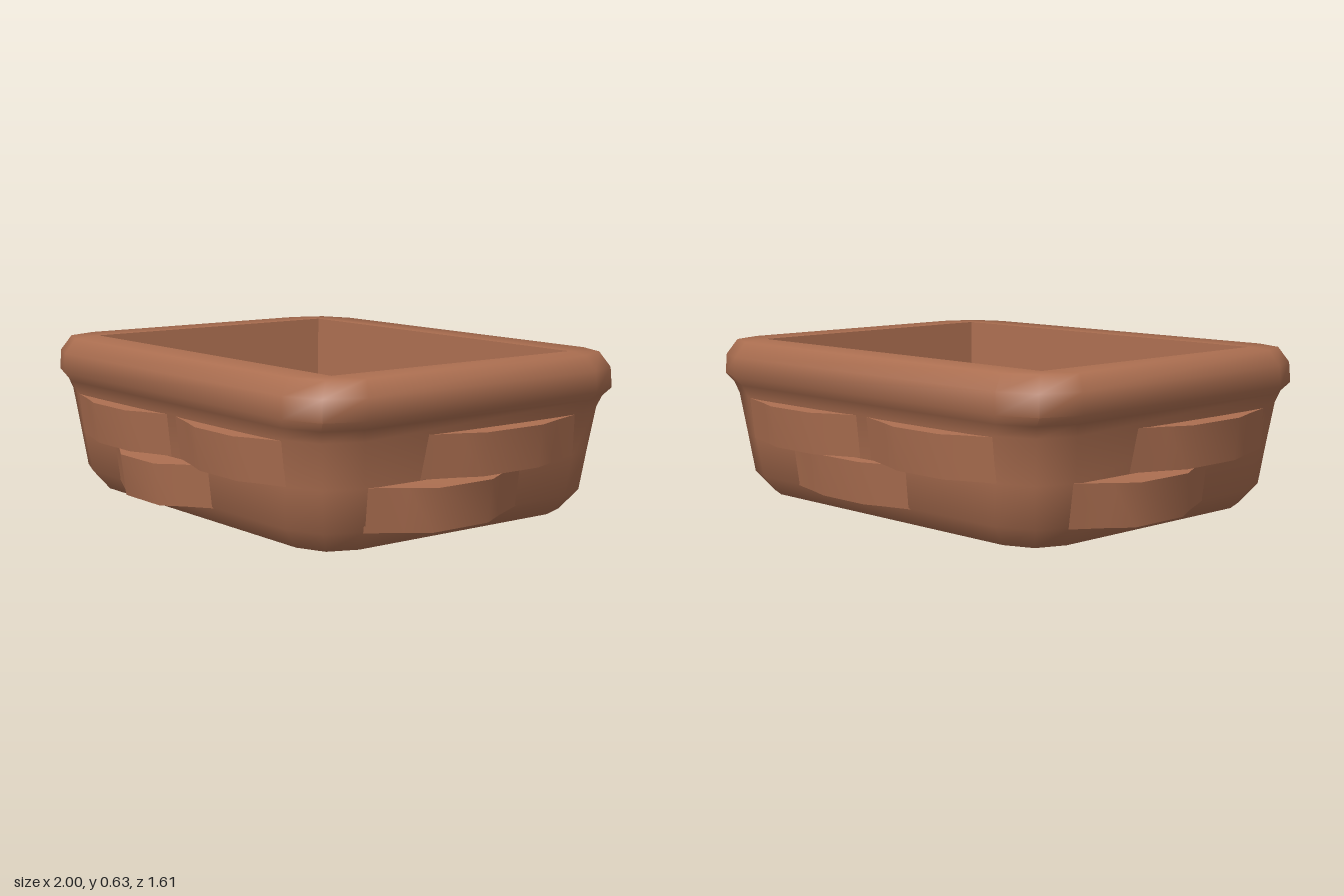
import * as THREE from 'three';
import { toCreasedNormals } from 'three/addons/utils/BufferGeometryUtils.js';

// Skin a list of equal-length closed loops
function loft(loops, crease) {
  const n = loops[0].length, index = [];
  for (let j = 0; j < loops.length - 1; j++) {
    for (let i = 0; i < n; i++) {
      const a = j * n + i, b = j * n + (i + 1) % n;
      index.push(a, a + n, b, b, a + n, b + n);
    }
  }
  const geo = new THREE.BufferGeometry();
  geo.setAttribute('position', new THREE.Float32BufferAttribute(loops.flat(2), 3));
  geo.setIndex(index);
  return toCreasedNormals(geo, crease);
}

// Horizontal rectangle with two-segment corners
function roundedLoop([y, hx, hz, r]) {
  const points = [];
  const signs = [[1, 1], [-1, 1], [-1, -1], [1, -1]];
  signs.forEach(([sx, sz], q) => {
    for (let k = 0; k < 3; k++) {
      const a = (q + k / 2) * Math.PI / 2;
      points.push([sx * (hx - r) + r * Math.cos(a), y, sz * (hz - r) + r * Math.sin(a) - 0.013]);
    }
  });
  return points;
}

// Woven strip that bulges out of a wall; local x runs along the wall, z points outward
function strip(bottom, top, wallBottom, wallTop, bulge, half) {
  const profile = [[-1, -0.01], [-0.62, 0.55], [-0.36, 1], [0.36, 1], [0.62, 0.55], [1, -0.01]];
  const loops = profile.map(([u, h]) => {
    const out = bulge * h, drop = 0.13 * out, x = u * half;
    return [
      [x, bottom, wallBottom - 0.03],
      [x, bottom - drop, wallBottom + out],
      [x, top - drop, wallTop + out],
      [x, top, wallTop - 0.03],
    ];
  });
  return loft(loops, 0.7);
}

export function createModel() {
  const model = new THREE.Group();
  const clay = new THREE.MeshStandardMaterial({ color: 0xab6e50 });
  clay.name = 'warm brown';

  const add = (name, geometry) => {
    const mesh = new THREE.Mesh(geometry, clay);
    mesh.name = name;
    model.add(mesh);
    return mesh;
  };

  // Basket shell: underside, walls, rolled rim, inner walls and floor
  const sections = [
    [0, 0, 0, 0],
    [0, 0.815, 0.63, 0.16],
    [0.08, 0.88, 0.695, 0.2],
    [0.24, 0.9, 0.715, 0.2],
    [0.41, 0.925, 0.735, 0.2],
    [0.455, 0.94, 0.75, 0.2],
    [0.49, 0.975, 0.772, 0.21],
    [0.57, 0.97, 0.768, 0.21],
    [0.63, 0.935, 0.727, 0.19],
    [0.63, 0.8, 0.585, 0],
    [0.13, 0.76, 0.547, 0],
    [0.13, 0, 0, 0],
  ];
  add('basketShell', loft(sections.map(roundedLoop), 1.1));

  // Woven strips: [name, turn, centre along wall, upper row?, wall distance shift, bulge, half length]
  const H = Math.PI / 2;
  const strips = [
    ['frontUpperStripLeft', 0, 0.37, true, -0.013, 0.055, 0.34],
    ['frontUpperStripRight', 0, -0.37, true, -0.013, 0.055, 0.34],
    ['frontLowerStrip', 0, -0.12, false, -0.013, 0.1, 0.34],
    ['backUpperStripLeft', 2 * H, -0.37, true, 0.013, 0.055, 0.34],
    ['backUpperStripRight', 2 * H, 0.37, true, 0.013, 0.055, 0.34],
    ['backLowerStrip', 2 * H, -0.11, false, 0.013, 0.045, 0.34],
    ['leftUpperStrip', H, 0.14, true, 0.185, 0.062, 0.39],
    ['leftLowerStrip', H, -0.12, false, 0.185, 0.1, 0.37],
    ['rightUpperStrip', -H, 0.14, true, 0.185, 0.064, 0.39],
    ['rightLowerStrip', -H, -0.17, false, 0.185, 0.1, 0.37],
  ];
  for (const [name, turn, centre, upper, shift, bulge, half] of strips) {
    const geo = upper
      ? strip(0.24, 0.405, 0.715 + shift, 0.735 + shift, bulge, half)
      : strip(0.075, 0.24, 0.693 + shift, 0.715 + shift, bulge, half);
    geo.translate(centre, 0, 0);
    add(name, geo).rotation.y = turn;
  }
  return model;
}
